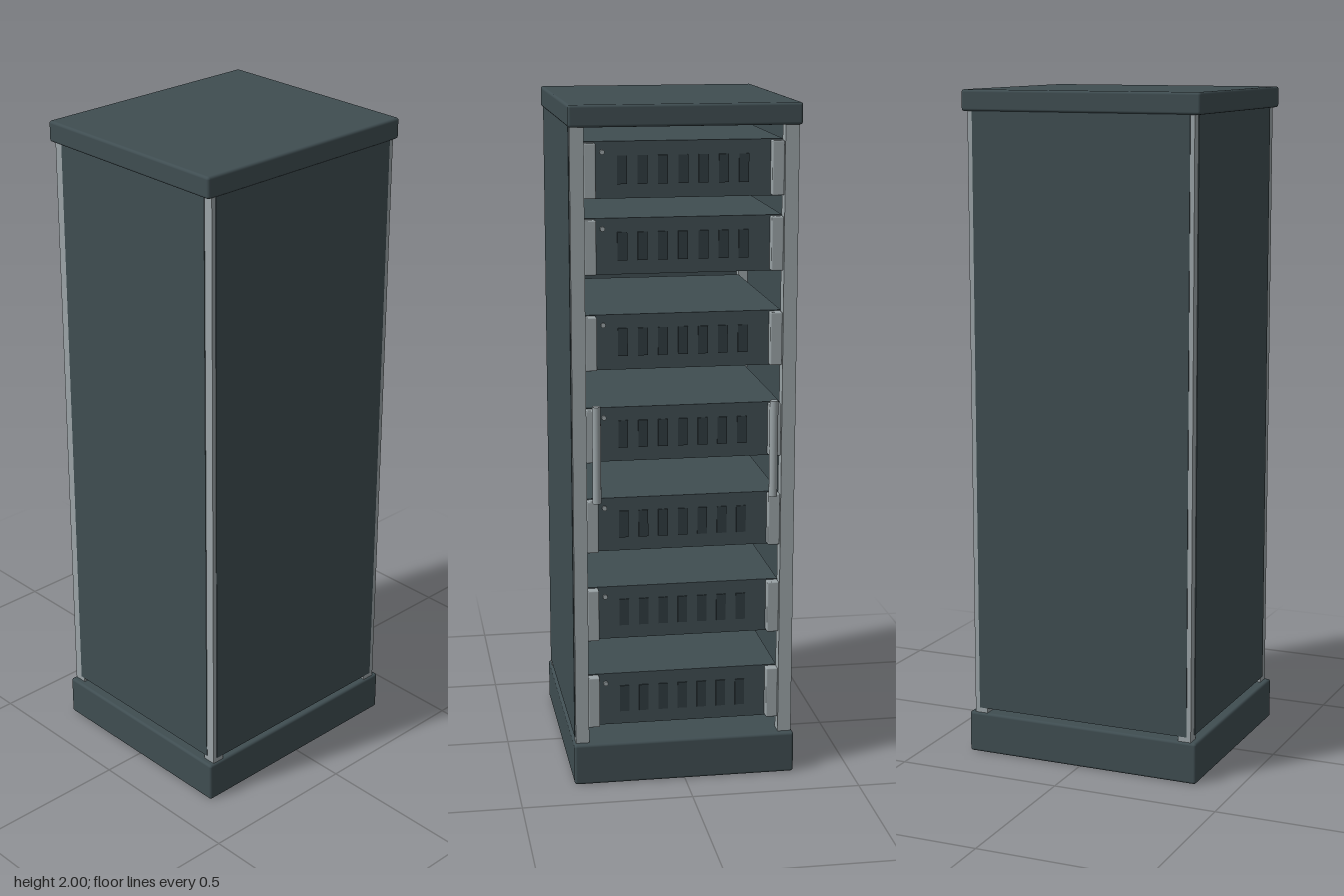
import * as THREE from 'three';
import { RoundedBoxGeometry } from 'three/addons/geometries/RoundedBoxGeometry.js';

export function createModel() {
  const rack = new THREE.Group();
  rack.name = 'serverRack';

  const material = (name, color) => {
    const m = new THREE.MeshStandardMaterial({ color });
    m.name = name;
    return m;
  };
  const slate = material('slate', 0x3f4d51);
  const silver = material('silver', 0x9aa3a6);
  const slotDark = material('slotDark', 0x303b3f);

  const add = (parent, name, geometry, mat, x, y, z) => {
    const mesh = new THREE.Mesh(geometry, mat);
    mesh.name = name;
    mesh.position.set(x, y, z);
    parent.add(mesh);
    return mesh;
  };
  const box = (w, h, d) => new THREE.BoxGeometry(w, h, d);
  const MID_Z = 0.005;

  // Base plinth and roof
  add(rack, 'base', new RoundedBoxGeometry(0.662, 0.125, 0.74, 3, 0.008), slate, 0, 0.0625, MID_Z);
  add(rack, 'roof', new RoundedBoxGeometry(0.662, 0.062, 0.74, 3, 0.008), slate, 0, 1.969, MID_Z);

  // Four corner posts
  for (const sx of [-1, 1]) {
    for (const sz of [-1, 1]) {
      add(rack, 'cornerPost', box(0.04, 1.825, 0.04), silver, sx * 0.305, 1.0325, MID_Z + sz * 0.332);
    }
  }

  // Closed front and sides, open back; a small gap remains above the base
  add(rack, 'frontPanel', box(0.594, 1.8, 0.012), slate, 0, 1.04, 0.353);
  for (const sx of [-1, 1]) {
    add(rack, 'sidePanel', box(0.012, 1.8, 0.676), slate, sx * 0.321, 1.04, MID_Z + 0.001);

    // Upright grab handles at the open back
    add(rack, 'handle', new THREE.CylinderGeometry(0.0125, 0.0125, 0.285, 20), silver, sx * 0.258, 1.0075, -0.3625);
  }

  // Equipment units, faces turned to the back
  const earGeometry = new RoundedBoxGeometry(0.035, 0.155, 0.03, 2, 0.004);
  const slotGeometry = box(0.028, 0.08, 0.006);
  const screwGeometry = new THREE.CylinderGeometry(0.007, 0.007, 0.008, 12).rotateX(Math.PI / 2);
  const faceZ = -0.31;
  for (const y of [0.245, 0.515, 0.785, 1.055, 1.325, 1.6, 1.815]) {
    const unit = new THREE.Group();
    unit.name = 'equipmentUnit';
    unit.position.y = y;
    add(unit, 'unitBody', box(0.57, 0.16, 0.63), slate, 0, 0, faceZ + 0.315);
    for (const sx of [-1, 1]) {
      add(unit, 'mountingEar', earGeometry, silver, sx * 0.268, 0, faceZ - 0.012);
    }
    for (let i = -3; i <= 3; i++) {
      add(unit, 'ventSlot', slotGeometry, slotDark, i * 0.058, 0, faceZ - 0.001);
    }
    add(unit, 'indicatorStud', screwGeometry, silver, 0.23, 0.05, faceZ - 0.003);
    rack.add(unit);
  }

  return rack;
}
